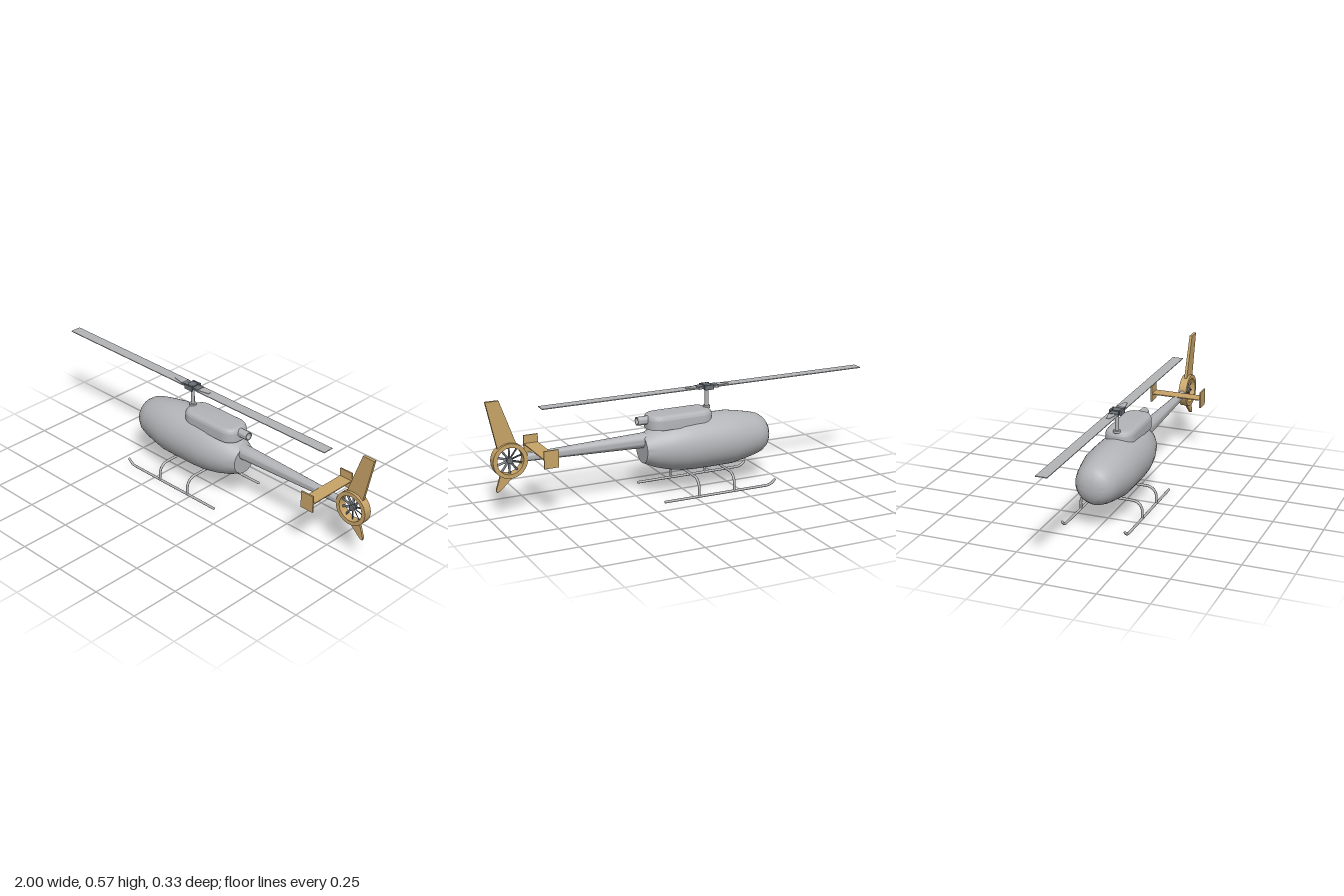
import * as THREE from 'three';
import { toCreasedNormals } from 'three/addons/utils/BufferGeometryUtils.js';

const paint = (name, color) => {
  const m = new THREE.MeshStandardMaterial({ color });
  m.name = name;
  return m;
};

export function createModel() {
  const grey = paint('light grey', 0xb3b4b7);
  const gold = paint('gold', 0xc8a468);
  const dark = paint('dark grey', 0x6a7076);
  const model = new THREE.Group();
  model.name = 'helicopter';

  const add = (name, geo, mat, x = 0, y = 0, z = 0, parent = model) => {
    const mesh = new THREE.Mesh(geo, mat);
    mesh.name = name;
    mesh.position.set(x, y, z);
    parent.add(mesh);
    return mesh;
  };
  const box = (w, h, d) => new THREE.BoxGeometry(w, h, d);
  const cyl = (r1, r2, h, n = 32) => new THREE.CylinderGeometry(r1, r2, h, n);
  // revolve [radius, x] pairs around the x axis
  const latheX = (pts, n = 48) => toCreasedNormals(
    new THREE.LatheGeometry(pts.map(p => new THREE.Vector2(...p)), n).rotateZ(-Math.PI / 2), 0.6);
  // flat plate in the xy plane, centred on z
  const plate = (pts, t) => new THREE.ExtrudeGeometry(
    new THREE.Shape(pts.map(p => new THREE.Vector2(...p))),
    { depth: t, bevelEnabled: false }).translate(0, 0, -t / 2);

  // Fuselage with a flat rear face
  add('fuselage', latheX([
    [0, -0.467], [0.03, -0.465], [0.058, -0.457], [0.08, -0.441], [0.098, -0.415], [0.109, -0.38],
    [0.122, -0.32], [0.134, -0.25], [0.135, -0.15], [0.134, -0.05], [0.13, 0.02],
    [0.117, 0.09], [0.096, 0.16], [0.07, 0.216], [0, 0.216],
  ]), grey, 0, 0.236);

  // Engine cowling: rounded pill with soft top edge and flat underside
  const b = 0.025, L = 0.171 - b, W = 0.074 - b, r = 0.045;
  const s = new THREE.Shape();
  s.moveTo(-L + r, -W);
  s.lineTo(L - r, -W);
  s.quadraticCurveTo(L, -W, L, -W + r);
  s.lineTo(L, W - r);
  s.quadraticCurveTo(L, W, L - r, W);
  s.lineTo(-L + r, W);
  s.quadraticCurveTo(-L, W, -L, W - r);
  s.lineTo(-L, -W + r);
  s.quadraticCurveTo(-L, -W, -L + r, -W);
  const cowl = new THREE.ExtrudeGeometry(s, {
    depth: 0.044, bevelThickness: b, bevelSize: b, bevelSegments: 6, curveSegments: 10,
  }).rotateX(-Math.PI / 2);
  const cp = cowl.attributes.position;
  for (let i = 0; i < cp.count; i++) cp.setY(i, Math.max(0, cp.getY(i)));
  add('engineCowling', toCreasedNormals(cowl, 0.6), grey, 0.022, 0.337);

  // Exhaust pipe, open at the rear
  add('exhaust', latheX([
    [0.021, 0.17], [0.021, 0.243], [0.016, 0.243], [0.016, 0.2], [0, 0.2],
  ], 32), grey, 0, 0.379);

  // Tail boom
  add('tailBoom', latheX([[0.038, 0.2], [0.019, 0.815]], 32), grey, 0, 0.28);

  // Main rotor
  const rotor = new THREE.Group();
  rotor.name = 'mainRotor';
  rotor.position.set(-0.134, 0, 0);
  model.add(rotor);
  add('mast', cyl(0.0095, 0.0095, 0.11, 24), grey, 0, 0.45, 0, rotor);
  add('mastCollar', cyl(0.018, 0.018, 0.012), grey, 0, 0.407, 0, rotor);
  add('rotorHub', cyl(0.022, 0.022, 0.023, 24), dark, 0, 0.5085, 0, rotor);
  for (const side of [-1, 1]) {
    add('hubCheek', box(0.05, 0.023, 0.008), dark, 0, 0.5085, side * 0.027, rotor);
    const arm = new THREE.Group();
    arm.name = 'bladeArm';
    arm.rotation.y = side > 0 ? 0 : Math.PI;
    arm.position.y = 0.509;
    rotor.add(arm);
    const yoke = plate([[0, -0.013], [0.055, -0.024], [0.055, 0.024], [0, 0.013]], 0.013);
    add('hubYoke', yoke.rotateX(-Math.PI / 2), dark, 0, 0, 0, arm);
    const grip = plate([[0.04, -0.024], [0.115, -0.008], [0.115, 0.008], [0.04, 0.024]], 0.009);
    add('bladeGrip', grip.rotateX(-Math.PI / 2), grey, 0, 0, 0, arm);
    add('rotorBlade', box(0.816, 0.004, 0.056), grey, 0.458, 0, 0, arm);
  }

  // Landing gear: two skids with upturned toes, two arched cross tubes
  const V = (x, y, z) => new THREE.Vector3(x, y, z);
  for (const side of [-1, 1]) {
    const z = side * 0.16;
    const path = new THREE.CurvePath();
    path.add(new THREE.LineCurve3(V(0.165, 0.007, z), V(-0.385, 0.007, z)));
    path.add(new THREE.QuadraticBezierCurve3(V(-0.385, 0.007, z), V(-0.415, 0.007, z), V(-0.434, 0.031, z)));
    add('skid', new THREE.TubeGeometry(path, 80, 0.0065, 12), grey);
    add('skidRearCap', new THREE.SphereGeometry(0.0065, 12, 8), grey, 0.165, 0.007, z);
    add('skidToeCap', new THREE.SphereGeometry(0.0065, 12, 8), grey, -0.434, 0.031, z);
  }
  for (const x of [-0.208, -0.016]) {
    const pts = [V(x, 0.007, 0.16)];
    for (const side of [1, -1]) {
      for (let i = 0; i <= 8; i++) {
        const a = (side > 0 ? i : 8 - i) / 8 * Math.PI / 2;
        pts.push(V(x, 0.044 + 0.05 * Math.sin(a), side * (0.11 + 0.05 * Math.cos(a))));
      }
    }
    pts.push(V(x, 0.007, -0.16));
    const curve = new THREE.CatmullRomCurve3(pts, false, 'centripetal');
    add('crossTube', new THREE.TubeGeometry(curve, 80, 0.0065, 12), grey);
  }

  // Horizontal stabiliser with end plates
  add('stabiliser', box(0.07, 0.005, 0.274), gold, 0.735, 0.3);
  for (const side of [-1, 1]) {
    add('endPlate', box(0.072, 0.086, 0.007), gold, 0.735, 0.3, side * 0.137);
  }

  // Shrouded tail fan
  const cx = 0.892, cy = 0.278;
  const ring = new THREE.Shape().absarc(0, 0, 0.085, 0, Math.PI * 2);
  ring.holes.push(new THREE.Path().absarc(0, 0, 0.065, 0, Math.PI * 2, true));
  const shroud = new THREE.ExtrudeGeometry(ring, { depth: 0.042, bevelEnabled: false, curveSegments: 32 });
  add('fanShroud', toCreasedNormals(shroud.translate(0, 0, -0.021), 0.6), gold, cx, cy);
  const fan = new THREE.Group();
  fan.name = 'tailFan';
  fan.position.set(cx, cy, 0);
  model.add(fan);
  add('fanHub', cyl(0.015, 0.015, 0.026, 24).rotateX(Math.PI / 2), dark, 0, 0, 0, fan);
  for (let i = 0; i < 10; i++) {
    const blade = box(0.011, 0.054, 0.002).rotateY(0.5).translate(0, 0.038, 0);
    add('fanBlade', blade, dark, 0, 0, 0, fan).rotation.z = i / 10 * Math.PI * 2;
  }

  // Upper and lower fins
  add('upperFin', plate([
    [0.853, 0.345], [0.892, 0.348], [0.935, 0.335], [0.957, 0.335], [1, 0.571], [0.935, 0.571],
  ].map(([x, y]) => [x > 0.95 && y < 0.4 ? 0.948 : x, y]), 0.014), gold);
  add('lowerFin', plate([
    [0.862, 0.207], [0.943, 0.132], [0.957, 0.128], [0.961, 0.14], [0.935, 0.22], [0.892, 0.206],
  ], 0.011), gold);

  return model;
}
